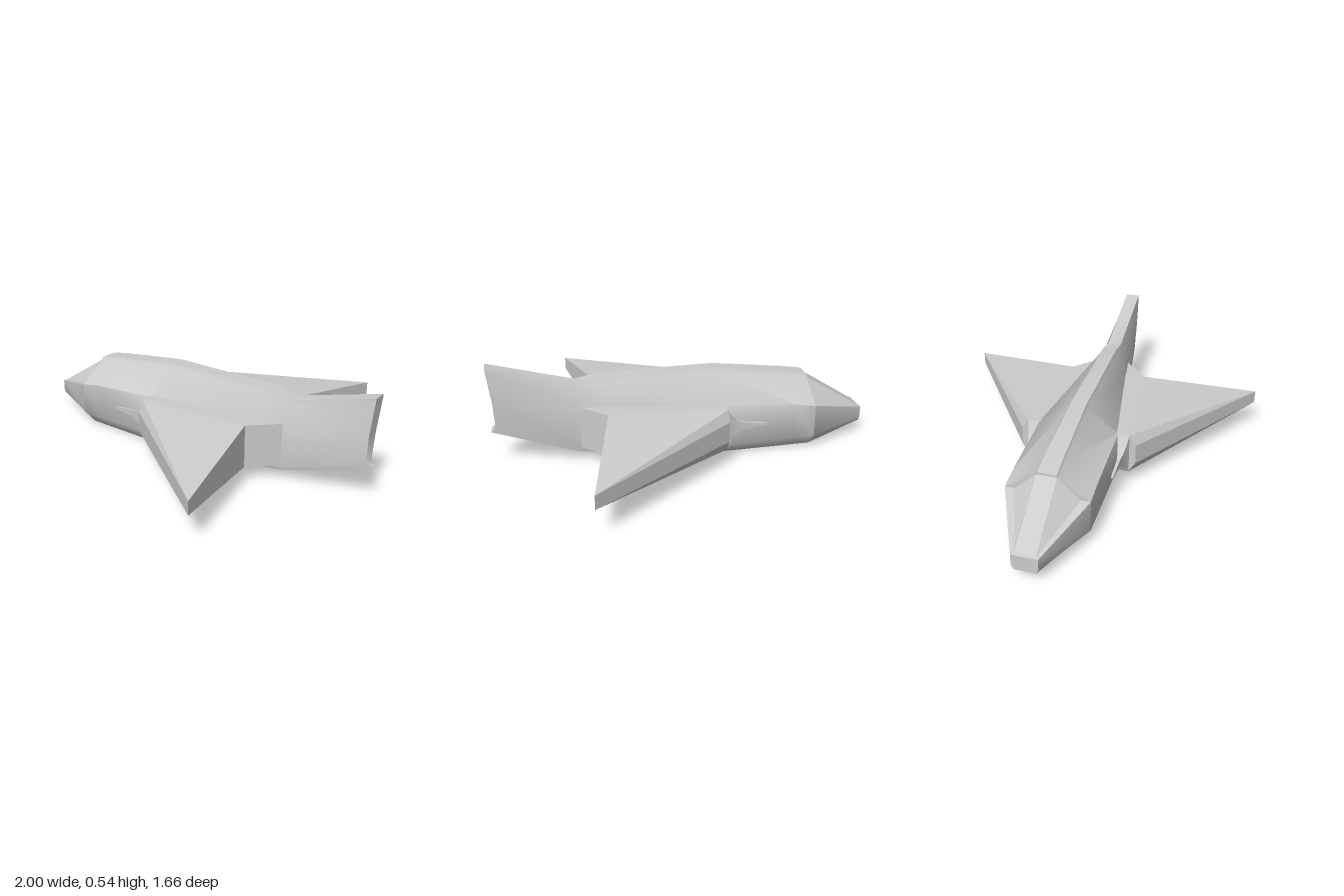
import * as THREE from 'three';
import { toCreasedNormals } from 'three/addons/utils/BufferGeometryUtils.js';

const material = new THREE.MeshStandardMaterial({ color: 0xcccccc });

function makeMesh(name, points, triangles, crease) {
  const geometry = new THREE.BufferGeometry();
  geometry.setAttribute('position', new THREE.Float32BufferAttribute(points.flat(), 3));
  geometry.setIndex(triangles.flat());
  const mesh = new THREE.Mesh(toCreasedNormals(geometry, crease), material);
  mesh.name = name;
  return mesh;
}

// Skin through cross-sections running along +x. Each section lists [x, y, halfWidth]
// from bottom to top and is mirrored across z; both ends are closed.
function loft(name, sections, crease, zCentre = 0) {
  const points = [], triangles = [];
  const half = sections[0].length, n = half * 2, last = (sections.length - 1) * n;
  for (const s of sections) {
    for (const [x, y, w] of s) points.push([x, y, zCentre + w]);
    for (const [x, y, w] of [...s].reverse()) points.push([x, y, zCentre - w]);
  }
  for (let base = 0; base < last; base += n) {
    for (let j = 0; j < n; j++) {
      const a = base + j, b = base + (j + 1) % n;
      triangles.push([a, a + n, b], [a + n, b + n, b]);
    }
  }
  for (let j = 0; j < half - 1; j++) {
    const k = n - 1 - j;
    triangles.push([j, j + 1, k], [j + 1, k - 1, k]);
    triangles.push([last + j, last + k, last + j + 1], [last + j + 1, last + k, last + k - 1]);
  }
  return makeMesh(name, points, triangles, crease);
}

// Section at one x from [y, halfWidth] pairs
const at = (x, pairs) => pairs.map(([y, w]) => [x, y, w]);

// Swept wing with a thick root; side is +1 or -1
function wing(side) {
  // Outline: x, top y, bottom y, z
  const outline = [
    [-0.18, 0.305, 0.08, 0.15],
    [-0.18, 0.305, 0.08, 0.27],
    [-0.18, 0.25, 0.14, 0.305],
    [0.56, 0.23, 0.16, 0.83],
    [0.42, 0.305, 0.08, 0.21],
    [0.56, 0.305, 0.08, 0.08],
  ];
  const n = outline.length;
  const points = [
    ...outline.map(([x, top, , z]) => [x, top, z * side]),
    ...outline.map(([x, , bottom, z]) => [x, bottom, z * side]),
  ];
  const triangles = [];
  for (const [a, b, c] of [[0, 1, 4], [1, 2, 3], [1, 3, 4], [0, 4, 5]]) {
    triangles.push([a, b, c], [a + n, c + n, b + n]);
  }
  for (let i = 0; i < n; i++) {
    const j = (i + 1) % n;
    triangles.push([i, i + n, j], [j, i + n, j + n]);
  }
  if (side < 0) triangles.forEach((t) => t.reverse());
  return makeMesh(side > 0 ? 'leftWing' : 'rightWing', points, triangles, 0.05);
}

// Flared spike ahead of a wing root
function spike(side) {
  // x, half height, half width
  const profile = [
    [-0.4, 0.004, 0.006], [-0.28, 0.018, 0.008], [-0.24, 0.03, 0.014],
    [-0.205, 0.06, 0.022], [-0.18, 0.112, 0.032],
  ];
  const sections = profile.map(([x, h, w]) => at(x, [[0.193 - h, w], [0.193 + h, w]]));
  return loft(side > 0 ? 'leftSpike' : 'rightSpike', sections, 0.6, side * 0.239);
}

export function createModel() {
  const model = new THREE.Group();
  model.name = 'shuttleCraft';

  // Hull with a raised spine, narrowing into the upright tail fin
  model.add(loft('fuselage', [
    at(-0.675, [[0, 0.14], [0.08, 0.21], [0.25, 0.21], [0.35, 0.058], [0.368, 0.048]]),
    at(-0.56, [[0, 0.14], [0.08, 0.21], [0.27, 0.21], [0.372, 0.056], [0.388, 0.046]]),
    at(-0.17, [[0, 0.14], [0.08, 0.21], [0.3, 0.21], [0.42, 0.05], [0.44, 0.04]]),
    at(0.44, [[0.043, 0.09], [0.08, 0.106], [0.3, 0.106], [0.418, 0.047], [0.44, 0.038]]),
    at(0.56, [[0.052, 0.08], [0.08, 0.085], [0.3, 0.085], [0.395, 0.045], [0.415, 0.037]]),
    [[1, 0.182, 0.025], [0.975, 0.205, 0.03], [0.98, 0.34, 0.036], [0.999, 0.52, 0.037], [1, 0.535, 0.037]],
  ], 0.95));

  // Nose below the windows
  model.add(loft('nose', [
    at(-1, [[0.065, 0.052], [0.09, 0.065], [0.15, 0.065]]),
    at(-0.675, [[0, 0.14], [0.08, 0.21], [0.25, 0.21]]),
  ], 0.95));

  // Sloping faceted canopy
  model.add(loft('canopy', [
    at(-0.99, [[0.14, 0.06], [0.154, 0.052]]),
    at(-0.675, [[0.235, 0.18], [0.355, 0.05]]),
  ], 0.2));

  for (const side of [1, -1]) model.add(wing(side), spike(side));
  return model;
}
